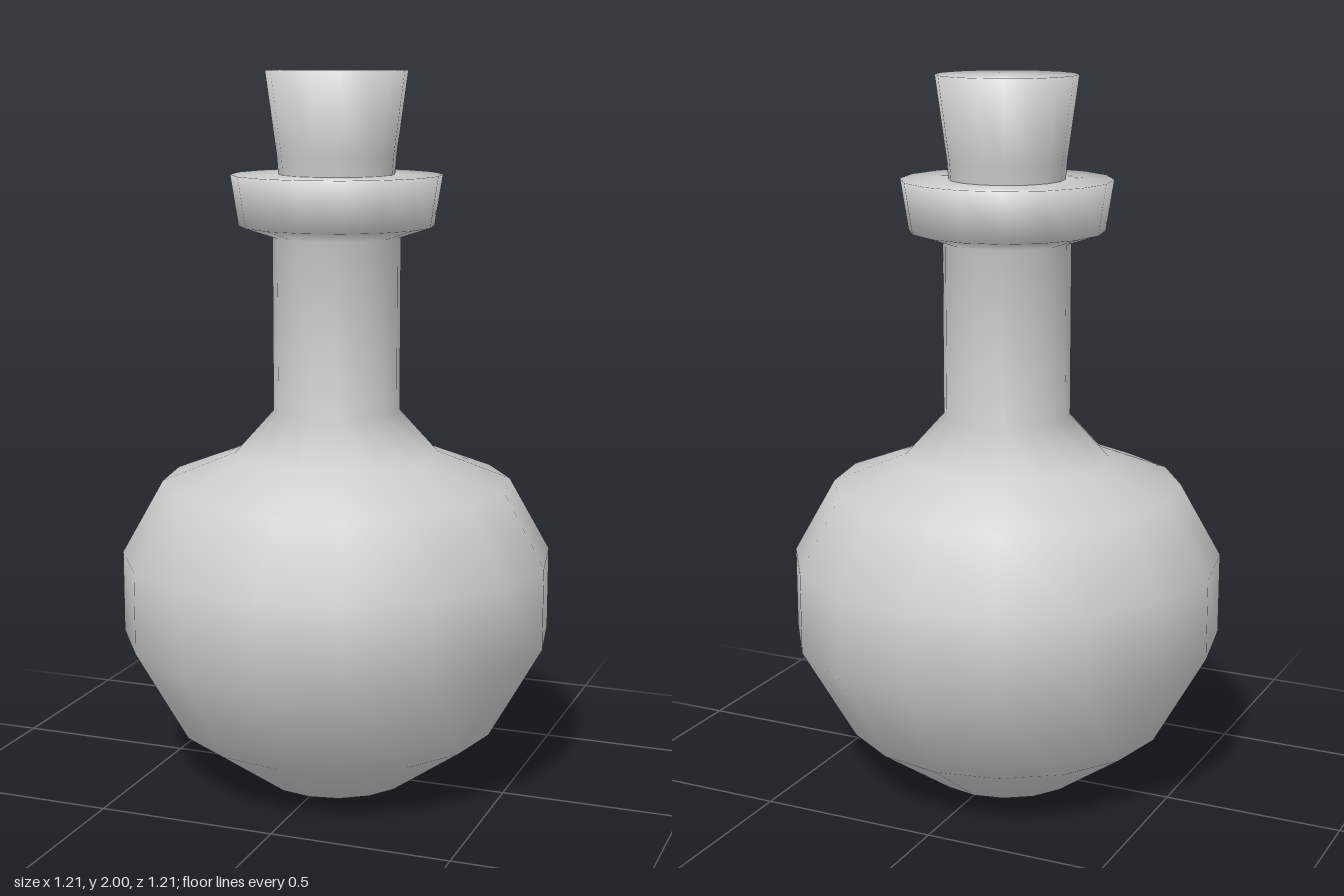
import * as THREE from 'three';

const SIDES = 16;

// Turn a list of [radius, height] points into a smooth-shaded mesh
function turned(name, profile, material) {
  const points = profile.map(([r, y]) => new THREE.Vector2(r, y));
  const mesh = new THREE.Mesh(new THREE.LatheGeometry(points, SIDES), material);
  mesh.name = name;
  return mesh;
}

export function createModel() {
  const model = new THREE.Group();
  model.name = 'flask';
  const material = new THREE.MeshStandardMaterial({ color: 0xcccccc, side: THREE.DoubleSide });

  // Round body, straight neck and flared lip
  model.add(turned('bottle', [
    [0, 0], [0.22, 0], [0.455, 0.165], [0.605, 0.43], [0.605, 0.66],
    [0.49, 0.865], [0.285, 0.945], [0.177, 1.065], [0.177, 1.55],
    [0.27, 1.58], [0.292, 1.72], [0.16, 1.72],
  ], material));

  // Tapered stopper, widening toward its flat top
  model.add(turned('stopper', [
    [0.16, 1.72], [0.164, 1.77], [0.195, 2], [0.01, 2], [0, 2],
  ], material));

  return model;
}
